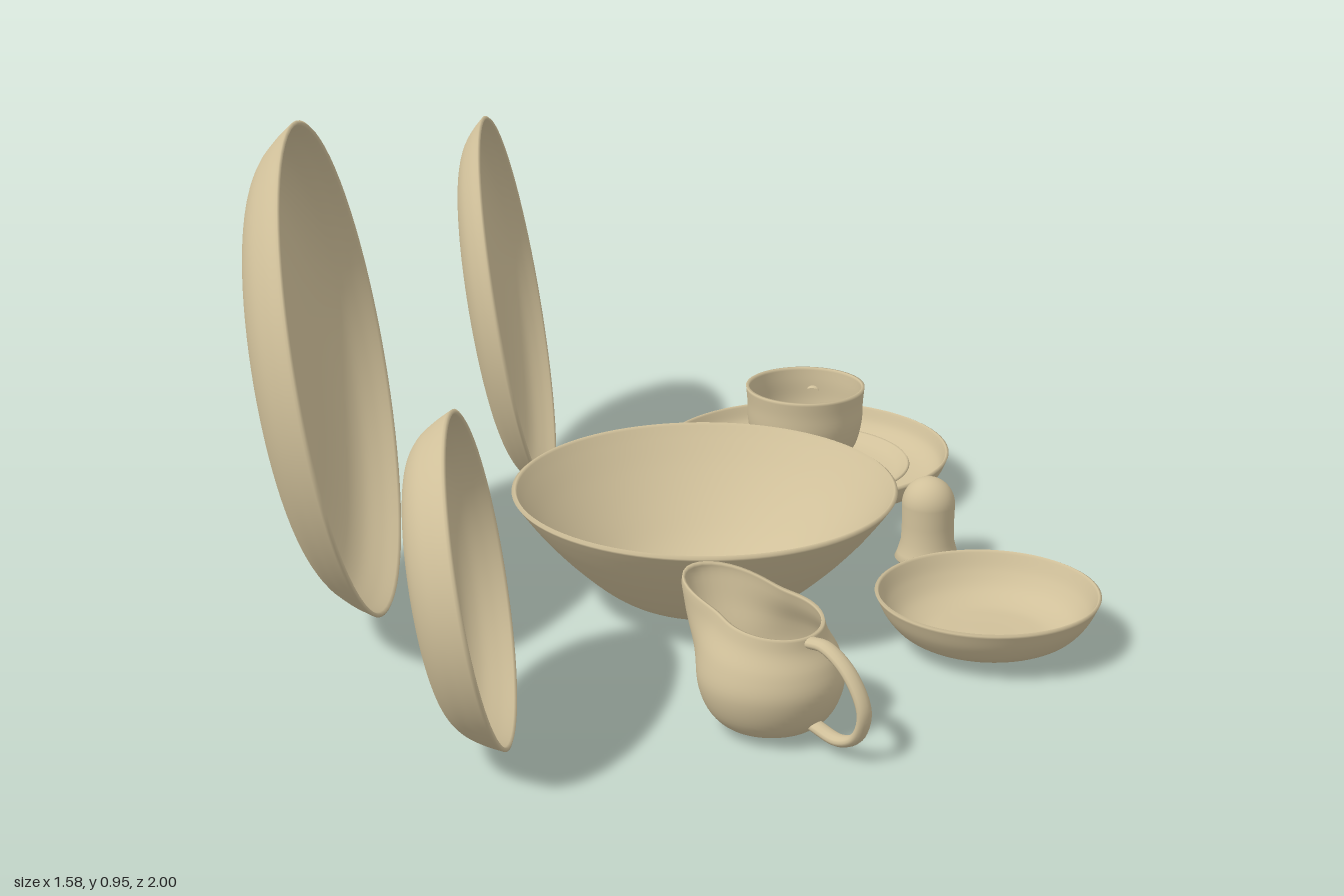
import * as THREE from 'three';
import { mergeVertices } from 'three/addons/utils/BufferGeometryUtils.js';

const glaze = new THREE.MeshStandardMaterial({ color: 0xd0c09a });
glaze.name = 'beige glaze';

// Closed thin-walled lathe: smooth outer profile, then the same profile offset inwards
function shell(points, wall, segments = 72) {
  const curve = new THREE.CatmullRomCurve3(points.map(([r, y]) => new THREE.Vector3(r, y, 0)));
  const n = 36, outer = [], inner = [];
  for (let i = 0; i <= n; i++) {
    const p = curve.getPoint(i / n), t = curve.getTangent(i / n);
    outer.push(new THREE.Vector2(Math.max(0, p.x), Math.max(0, p.y)));
    inner.unshift(new THREE.Vector2(i === 0 ? 0 : Math.max(0, p.x - t.y * wall), p.y + t.x * wall));
  }
  return new THREE.LatheGeometry([...outer, ...inner], segments);
}

// Loop handle in the radial plane that points along +x
function handle(path, radius, width) {
  const curve = new THREE.CatmullRomCurve3(path.map(([r, y]) => new THREE.Vector3(r, y, 0)));
  const geometry = new THREE.TubeGeometry(curve, 40, radius, 12);
  geometry.scale(1, 1, width);
  return geometry;
}

function part(parent, name, geometry, x = 0, y = 0, z = 0) {
  const mesh = new THREE.Mesh(geometry, glaze);
  mesh.name = name;
  mesh.position.set(x, y, z);
  parent.add(mesh);
  return mesh;
}

// Plate profile as fractions of rim radius and depth
function plateProfile(radius, depth) {
  return [[0, 0], [0.35, 0], [0.62, 0.01], [0.78, 0.13], [0.88, 0.36], [0.95, 0.68], [1, 1]]
    .map(([r, y]) => [r * radius, y * depth]);
}

export function createModel() {
  const group = new THREE.Group();
  group.name = 'tableware';

  // Plates leaning back by ten degrees, facing +x
  const tilt = THREE.MathUtils.degToRad(80);
  for (const [name, x, y, z, radius, depth] of [
    ['largeLeaningPlate', -0.633, 0.475, 0.107, 0.473, 0.105],
    ['mediumLeaningPlate', -0.352, 0.39, -0.595, 0.403, 0.07],
    ['smallLeaningBowl', -0.327, 0.295, 0.705, 0.295, 0.095],
  ]) {
    const plate = part(group, name, shell(plateProfile(radius, depth), 0.007),
      x - depth * Math.sin(tilt), y - depth * Math.cos(tilt), z);
    plate.rotation.z = -tilt;
  }

  // Bowls
  part(group, 'servingBowl', shell([[0, 0.003], [0.1, 0.003], [0.14, 0.012], [0.19, 0.038],
    [0.25, 0.088], [0.31, 0.15], [0.35, 0.2], [0.37, 0.228]], 0.008, 96), 0.05, 0, 0.075);
  part(group, 'smallBowl', shell([[0, 0.006], [0.08, 0.006], [0.125, 0.01], [0.165, 0.028],
    [0.192, 0.058], [0.211, 0.096]], 0.006), 0.58, 0, 0.27);

  // Dinner plate, saucer and cup
  const setting = new THREE.Group();
  setting.name = 'cupSetting';
  setting.position.set(0.26, 0, -0.56);
  group.add(setting);
  part(setting, 'dinnerPlate', shell([[0, 0.008], [0.15, 0.008], [0.215, 0.012], [0.265, 0.026],
    [0.292, 0.047], [0.308, 0.08]], 0.006));
  part(setting, 'saucer', shell([[0, 0.016], [0.1, 0.016], [0.16, 0.022], [0.2, 0.033],
    [0.225, 0.05]], 0.005));
  part(setting, 'cup', shell([[0, 0.028], [0.05, 0.028], [0.058, 0.036], [0.08, 0.058],
    [0.108, 0.095], [0.121, 0.145], [0.123, 0.19], [0.126, 0.222]], 0.006));
  const cupHandle = part(setting, 'cupHandle', handle([[0.115, 0.172], [0.14, 0.188], [0.175, 0.195],
    [0.197, 0.175], [0.185, 0.13], [0.15, 0.1], [0.1, 0.088]], 0.008, 1.7));
  cupHandle.rotation.y = THREE.MathUtils.degToRad(80);

  // Shaker with a flared foot, domed top and hollow underside
  const shaker = [[0, 0.045], [0.022, 0.045], [0.024, 0.002], [0.06, 0.002], [0.065, 0.008],
    [0.06, 0.02], [0.053, 0.045], [0.052, 0.08], [0.053, 0.12]].map(([r, y]) => new THREE.Vector2(r, y));
  for (let i = 1; i <= 12; i++) {
    const a = (i / 12) * Math.PI / 2;
    shaker.push(new THREE.Vector2(Math.max(0, 0.053 * Math.cos(a)), 0.12 + 0.056 * Math.sin(a)));
  }
  part(group, 'shaker', new THREE.LatheGeometry(shaker, 40), 0.495, 0, -0.125);

  // Cream jug: its handle side is +x, and the rim is pulled into a raised spout at -x
  const jug = new THREE.Group();
  jug.name = 'creamJug';
  jug.position.set(0.17, 0, 0.635);
  jug.rotation.y = -Math.PI / 4;
  group.add(jug);
  let body = shell([[0, 0.005], [0.05, 0.005], [0.082, 0.007], [0.112, 0.035], [0.13, 0.09],
    [0.12, 0.14], [0.1, 0.18], [0.092, 0.207]], 0.006);
  const pos = body.attributes.position;
  for (let i = 0; i < pos.count; i++) {
    const x = pos.getX(i), y = pos.getY(i), z = pos.getZ(i);
    const r = Math.hypot(x, z) || 1e-6, c = -x / r;
    const spout = Math.max(0, c) ** 5;
    const k = THREE.MathUtils.smoothstep(y, 0.08, 0.205);
    const grow = (r + 0.105 * spout * k) / r;
    pos.setXYZ(i, x * grow, y + k * (0.015 * c + 0.02 * spout), z * grow);
  }
  body.deleteAttribute('uv');
  body.deleteAttribute('normal');
  body = mergeVertices(body);
  body.computeVertexNormals();
  part(jug, 'jugBody', body);
  part(jug, 'jugHandle', handle([[0.092, 0.18], [0.13, 0.182], [0.185, 0.15], [0.22, 0.09],
    [0.205, 0.04], [0.165, 0.02], [0.1, 0.03]], 0.01, 1.6));

  return group;
}
